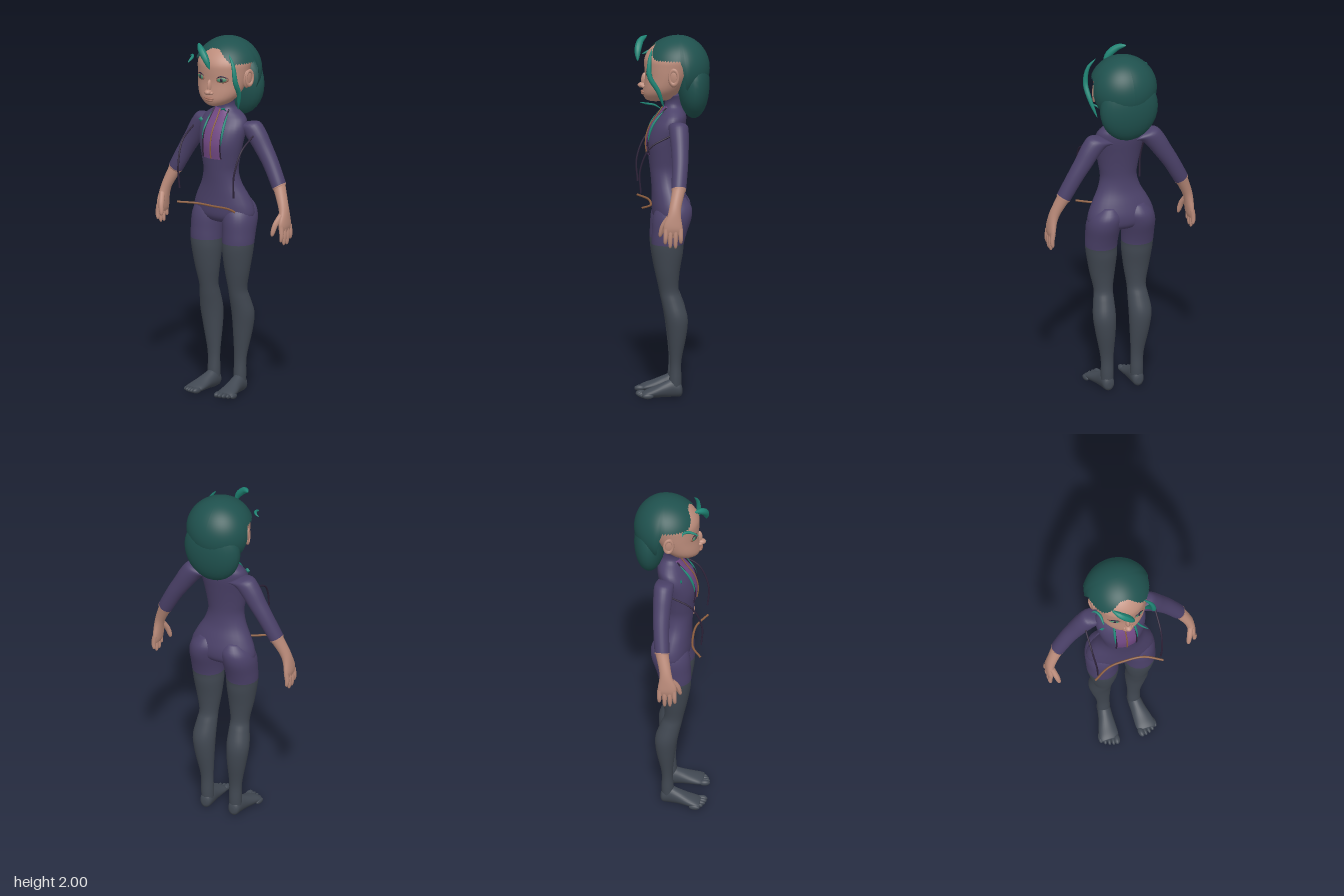
import * as THREE from 'three';

const mat = (name, color, side = THREE.FrontSide) =>
  Object.assign(new THREE.MeshStandardMaterial({ color, side }), { name });
const M = {
  skin: mat('skin', 0xbd8d7c), suit: mat('suit purple', 0x4b4169), tights: mat('tights grey', 0x414852),
  hair: mat('hair dark teal', 0x1f514e, THREE.DoubleSide), strand: mat('strand teal', 0x1f8575),
  panel: mat('panel violet', 0x714883, THREE.DoubleSide), trim: mat('trim bronze', 0x8a5c3e),
  cord: mat('cord dark', 0x2c2238), eye: mat('eye green', 0x4f8f70), lip: mat('lip', 0xa2705f),
};
const V = (x, y, z) => new THREE.Vector3(x, y, z);
const X = V(1, 0, 0), Y = V(0, 1, 0), Z = V(0, 0, 1);

// Smooth interpolation through rows of numbers
const SUB = 4;
function smoothRows(rows) {
  const out = [];
  for (let i = 0; i < rows.length - 1; i++) {
    const p = [rows[Math.max(i - 1, 0)], rows[i], rows[i + 1], rows[Math.min(i + 2, rows.length - 1)]];
    for (let s = 0; s < SUB; s++) {
      const t = s / SUB;
      out.push(p[1].map((b, k) => {
        const a = p[0][k], c = p[2][k], d = p[3][k];
        return b + 0.5 * t * (c - a + t * (2 * a - 5 * b + 4 * c - d + t * (3 * (b - c) + d - a)));
      }));
    }
  }
  out.push(rows[rows.length - 1]);
  return out;
}

// Closed body from elliptical sections [cx, cy, cz, ru, rv]; colour changes at row `split`
function loft(name, rows, U, W, mats, split = 0, floor = -1) {
  const rings = smoothRows(rows), n = 28, pos = [], idx = [];
  const put = (v) => pos.push(v.x, Math.max(v.y, floor), v.z);
  for (const [cx, cy, cz, ru, rv] of rings)
    for (let j = 0; j < n; j++) {
      const a = (j / n) * Math.PI * 2;
      put(V(cx, cy, cz).addScaledVector(U, ru * Math.cos(a)).addScaledVector(W, rv * Math.sin(a)));
    }
  const first = V(...rings[0]), last = V(...rings[rings.length - 1]);
  put(first); put(last);
  const flip = U.clone().cross(W).dot(last.clone().sub(first)) < 0;
  const tri = (a, b, c) => (flip ? idx.push(a, c, b) : idx.push(a, b, c));
  const m = rings.length, end = m * n;
  let cut = 0;
  for (let j = 0; j < n; j++) tri(end, (j + 1) % n, j);
  for (let i = 0; i < m - 1; i++) {
    if (i === split * SUB) cut = idx.length;
    for (let j = 0; j < n; j++) {
      const k = (j + 1) % n, a = i * n + j, b = i * n + k;
      tri(a, b, b + n); tri(a, b + n, a + n);
    }
  }
  for (let j = 0; j < n; j++) tri(end + 1, (m - 1) * n + j, (m - 1) * n + (j + 1) % n);
  const g = new THREE.BufferGeometry();
  g.setAttribute('position', new THREE.Float32BufferAttribute(pos, 3));
  g.setIndex(idx);
  g.computeVertexNormals();
  if (split) { g.addGroup(0, cut, 0); g.addGroup(cut, idx.length - cut, 1); }
  return named(name, new THREE.Mesh(g, mats));
}
function named(name, o) { o.name = name; return o; }

// Tube whose radius follows a rule
const pointed = (t) => Math.max(0.08, Math.pow(Math.sin(Math.PI * t), 0.6));
const fingerlike = (t) => (1 - 0.25 * t) * Math.sqrt(Math.max(0.0004, 1 - Math.pow(t, 8)));
function taper(name, pts, r, material, rule = () => 1, sides = 10) {
  const curve = new THREE.CatmullRomCurve3(pts.map((p) => V(...p))), n = 24;
  const g = new THREE.TubeGeometry(curve, n, r, sides), p = g.attributes.position, v = V(0, 0, 0);
  for (let i = 0; i < p.count; i++) {
    const t = Math.floor(i / (sides + 1)) / n, c = curve.getPointAt(t);
    v.fromBufferAttribute(p, i).sub(c).multiplyScalar(rule(t)).add(c);
    p.setXYZ(i, v.x, v.y, v.z);
  }
  g.computeVertexNormals();
  return named(name, new THREE.Mesh(g, material));
}
function ball(name, c, s, material, ry = 0, rz = 0) {
  const m = new THREE.Mesh(new THREE.SphereGeometry(1, 24, 16), material);
  m.position.set(...c); m.scale.set(...s); m.rotation.set(0, ry, rz);
  return named(name, m);
}

// Torso sections: [y, half width, front z, back z]
const sections = (list) => list.map(([y, w, f, b]) => [0, y, (f + b) / 2, w, (f - b) / 2]);
const torso = sections([
  [0.965, 0.08, 0.06, -0.04], [0.98, 0.14, 0.09, -0.07], [1.01, 0.188, 0.108, -0.09], [1.06, 0.186, 0.112, -0.092],
  [1.12, 0.16, 0.112, -0.075], [1.19, 0.122, 0.115, -0.05], [1.26, 0.104, 0.122, -0.04], [1.33, 0.113, 0.13, -0.045],
  [1.42, 0.13, 0.138, -0.06], [1.5, 0.142, 0.115, -0.075], [1.55, 0.132, 0.08, -0.078], [1.58, 0.1, 0.058, -0.07],
  [1.61, 0.056, 0.042, -0.055], [1.645, 0.05, 0.045, -0.05], [1.675, 0.062, 0.075, -0.05]]);
const torsoRings = smoothRows(torso);
function frontZ(x, y) {
  const i = Math.max(1, torsoRings.findIndex((r) => r[1] >= y));
  const a = torsoRings[i - 1], b = torsoRings[i], t = (y - a[1]) / (b[1] - a[1]);
  const [, , cz, w, d] = a.map((q, k) => q + (b[k] - q) * t);
  return cz + d * Math.sqrt(Math.max(0, 1 - (x / w) ** 2));
}

function chestDetails(g) {
  const half = (y) => 0.058 - 0.012 * Math.max(0, (y - 1.5) / 0.11);
  const geo = new THREE.PlaneGeometry(2, 0.27, 10, 20), p = geo.attributes.position;
  for (let i = 0; i < p.count; i++) {
    const y = p.getY(i) + 1.475, x = p.getX(i) * half(y);
    p.setXYZ(i, x, y, frontZ(x, y) + 0.004);
  }
  geo.computeVertexNormals();
  g.add(named('chestPanel', new THREE.Mesh(geo, M.panel)));
  const run = (x, top, low) => [0, 1, 2, 3, 4, 5].map((i) => {
    const y = top + ((low - top) * i) / 5;
    return [x * half(y), y, frontZ(x * half(y), y) + 0.008];
  });
  g.add(taper('zipper', run(0, 1.605, 1.345), 0.004, M.trim));
  for (const s of [1, -1]) {
    g.add(taper('panelPiping', run(s, 1.605, 1.345), 0.004, M.cord));
    g.add(taper('panelRibbon', run(s * 1.06, 1.59, 1.42), 0.007, M.strand, pointed));
  }
  const pin = named('shoulderPin', new THREE.Mesh(new THREE.OctahedronGeometry(0.017), M.strand));
  pin.position.set(-0.12, 1.53, frontZ(-0.12, 1.53) + 0.01);
  pin.scale.z = 0.4;
  g.add(pin);
}

// Arm, hand, leg and foot for the left side (+x)
function limbs() {
  const g = new THREE.Group();
  g.add(loft('arm', [
    [0.08, 1.51, -0.02, 0.05, 0.045], [0.145, 1.515, -0.027, 0.058, 0.054], [0.19, 1.47, -0.03, 0.056, 0.053],
    [0.235, 1.4, -0.032, 0.05, 0.048], [0.285, 1.32, -0.03, 0.045, 0.044], [0.346, 1.207, -0.02, 0.041, 0.041],
    [0.348, 1.203, -0.02, 0.036, 0.037], [0.385, 1.12, 0, 0.029, 0.033], [0.4, 1.07, 0.008, 0.027, 0.037],
    [0.407, 1.02, 0.014, 0.025, 0.05], [0.41, 0.985, 0.014, 0.022, 0.052], [0.41, 0.96, 0.014, 0.014, 0.046],
  ], V(0.85, 0.53, 0), Z, [M.suit, M.skin], 5));
  [[-0.026, 0.915], [0.001, 0.888], [0.028, 0.89], [0.053, 0.912]].forEach(([z, tip], i) =>
    g.add(taper('finger' + (i + 1), [[0.41, 1.0, z], [0.416, 0.95, z * 1.05], [0.412, tip, z * 1.1]],
      0.0145, M.skin, fingerlike)));
  g.add(taper('thumb', [[0.4, 1.06, 0.035], [0.383, 1.01, 0.068], [0.37, 0.945, 0.086]], 0.017, M.skin, fingerlike));
  g.add(loft('leg', [
    [0.08, 1.11, -0.03, 0.04, 0.04], [0.088, 1.06, -0.01, 0.085, 0.093], [0.1, 1.0, 0.004, 0.095, 0.106],
    [0.105, 0.92, 0.02, 0.091, 0.096], [0.106, 0.86, 0.029, 0.089, 0.089], [0.103, 0.8, 0.03, 0.085, 0.084],
    [0.1, 0.7, 0.03, 0.071, 0.067], [0.097, 0.6, 0.022, 0.054, 0.053], [0.1, 0.54, 0.006, 0.057, 0.057],
    [0.105, 0.45, -0.018, 0.064, 0.062], [0.1, 0.35, -0.023, 0.056, 0.052], [0.089, 0.2, -0.016, 0.037, 0.031],
    [0.087, 0.1, -0.014, 0.036, 0.034], [0.087, 0.04, -0.012, 0.034, 0.034],
  ], X, Z, [M.suit, M.tights], 4));
  g.add(loft('foot', [
    [0.087, 0.035, -0.052, 0.012, 0.016], [0.087, 0.042, -0.04, 0.031, 0.04], [0.088, 0.05, 0, 0.037, 0.052],
    [0.093, 0.042, 0.045, 0.041, 0.043], [0.101, 0.03, 0.1, 0.05, 0.031], [0.106, 0.022, 0.145, 0.054, 0.022],
    [0.108, 0.018, 0.168, 0.045, 0.014],
  ], X, Y, M.tights, 0, 0.002));
  for (let i = 0; i < 5; i++)
    g.add(ball('toe' + (i + 1), [0.07 + i * 0.021, 0.019 - i * 0.0012, 0.174 - i * i * 0.0022],
      [i ? 0.0115 : 0.017, i ? 0.0145 : 0.017, 0.03], M.tights, 0.1));
  return g;
}

function head() {
  const g = named('head', new THREE.Group());
  g.add(loft('face', sections([
    [1.638, 0.025, 0.125, 0.05], [1.65, 0.062, 0.147, -0.005], [1.68, 0.1, 0.16, -0.03], [1.72, 0.127, 0.157, -0.06],
    [1.78, 0.142, 0.15, -0.1], [1.84, 0.148, 0.153, -0.13], [1.88, 0.148, 0.15, -0.14], [1.92, 0.13, 0.126, -0.13],
    [1.955, 0.09, 0.082, -0.1], [1.975, 0.03, 0.01, -0.06]]), X, Z, M.skin));
  g.add(ball('nose', [0, 1.726, 0.163], [0.021, 0.016, 0.026], M.skin));
  g.add(ball('noseBridge', [0, 1.755, 0.15], [0.013, 0.04, 0.02], M.skin));
  g.add(ball('upperLip', [0, 1.691, 0.157], [0.031, 0.007, 0.015], M.lip));
  g.add(ball('lowerLip', [0, 1.68, 0.156], [0.026, 0.008, 0.015], M.lip));
  for (const s of [1, -1]) {
    g.add(ball('nostril', [s * 0.017, 1.721, 0.158], [0.012, 0.01, 0.014], M.skin));
    g.add(ball('eyeLid', [s * 0.07, 1.8, 0.129], [0.037, 0.021, 0.009], M.lip, s * 0.42, s * 0.08));
    g.add(ball('eyeball', [s * 0.07, 1.799, 0.132], [0.029, 0.014, 0.009], M.eye, s * 0.42, s * 0.08));
    g.add(ball('pupil', [s * 0.07, 1.799, 0.138], [0.009, 0.011, 0.005], M.cord, s * 0.42));
    g.add(taper('lashLine', [[s * 0.037, 1.803, 0.144], [s * 0.068, 1.819, 0.138], [s * 0.104, 1.806, 0.116]],
      0.0035, M.cord, pointed));
    g.add(ball('ear', [s * 0.146, 1.788, 0], [0.018, 0.052, 0.03], M.skin, s * -0.25, s * -0.1));
    const rim = named('earRim', new THREE.Mesh(new THREE.TorusGeometry(0.024, 0.007, 8, 24), M.skin));
    rim.position.set(s * 0.16, 1.795, -0.002);
    rim.rotation.y = Math.PI / 2 - s * 0.25;
    rim.scale.y = 1.65;
    g.add(rim);
  }
  return g;
}

// Hair cap with an arched hairline, the long back lobe and loose strands
function hair() {
  const g = named('hair', new THREE.Group());
  const geo = new THREE.SphereGeometry(1, 72, 24), p = geo.attributes.position, uv = geo.attributes.uv;
  const step = THREE.MathUtils.smoothstep;
  for (let i = 0; i < p.count; i++) {
    const th = uv.getX(i) * Math.PI * 2 - Math.PI, deg = Math.abs(THREE.MathUtils.radToDeg(th));
    const low = 1.957 - 0.077 * step(deg, 8, 48) - 0.17 * step(deg, 90, 106);
    const phi = (1 - uv.getY(i)) * Math.acos((low - 1.82) / 0.18), c = Math.cos(th);
    p.setXYZ(i, 0.186 * Math.sin(phi) * Math.sin(th), 1.82 + 0.18 * Math.cos(phi),
      -0.035 + (c > 0 ? 0.2 : 0.172) * Math.sin(phi) * c);
  }
  geo.computeVertexNormals();
  g.add(named('hairCap', new THREE.Mesh(geo, M.hair)));
  g.add(ball('hairBack', [0, 1.73, -0.118], [0.168, 0.19, 0.088], M.hair));
  g.add(taper('foreheadLock', [[-0.085, 1.985, 0.135], [-0.045, 1.965, 0.17], [0, 1.92, 0.188], [0.028, 1.865, 0.19]],
    0.02, M.strand, pointed));
  g.add(taper('leftLock', [[0.105, 1.945, 0.115], [0.143, 1.89, 0.13], [0.158, 1.8, 0.13], [0.15, 1.72, 0.085],
    [0.12, 1.62, 0.05]], 0.014, M.strand, pointed));
  g.add(taper('rightLock', [[-0.185, 1.885, 0.075], [-0.165, 1.893, 0.08], [-0.145, 1.89, 0.11], [-0.14, 1.87, 0.16]],
    0.008, M.strand, pointed));
  g.add(taper('neckLock', [[0.05, 1.6, 0.06], [0.058, 1.625, 0.1], [0.075, 1.635, 0.14], [0.11, 1.65, 0.182]],
    0.006, M.strand, pointed));
  return g;
}

export function createModel() {
  const model = named('figure', new THREE.Group());
  model.add(loft('torso', torso, X, Z, M.suit));
  chestDetails(model);
  // Limbs are shared; the right side is a mirrored copy
  const left = named('leftLimbs', limbs()), right = named('rightLimbs', limbs());
  right.scale.x = -1;
  model.add(left, right, head(), hair());
  for (const s of [1, -1])
    model.add(taper('sideCord', [[s * 0.2, 1.475, 0.02], [s * 0.198, 1.41, 0.13], [s * 0.187, 1.28, 0.185],
      [s * 0.181, 1.155, 0.18]], 0.005, M.cord));
  model.add(taper('belt', [[-0.197, 1.075, 0.18], [-0.1, 1.07, 0.127], [0, 1.066, 0.117], [0.1, 1.07, 0.127],
    [0.197, 1.075, 0.18]], 0.006, M.trim));
  return model;
}
